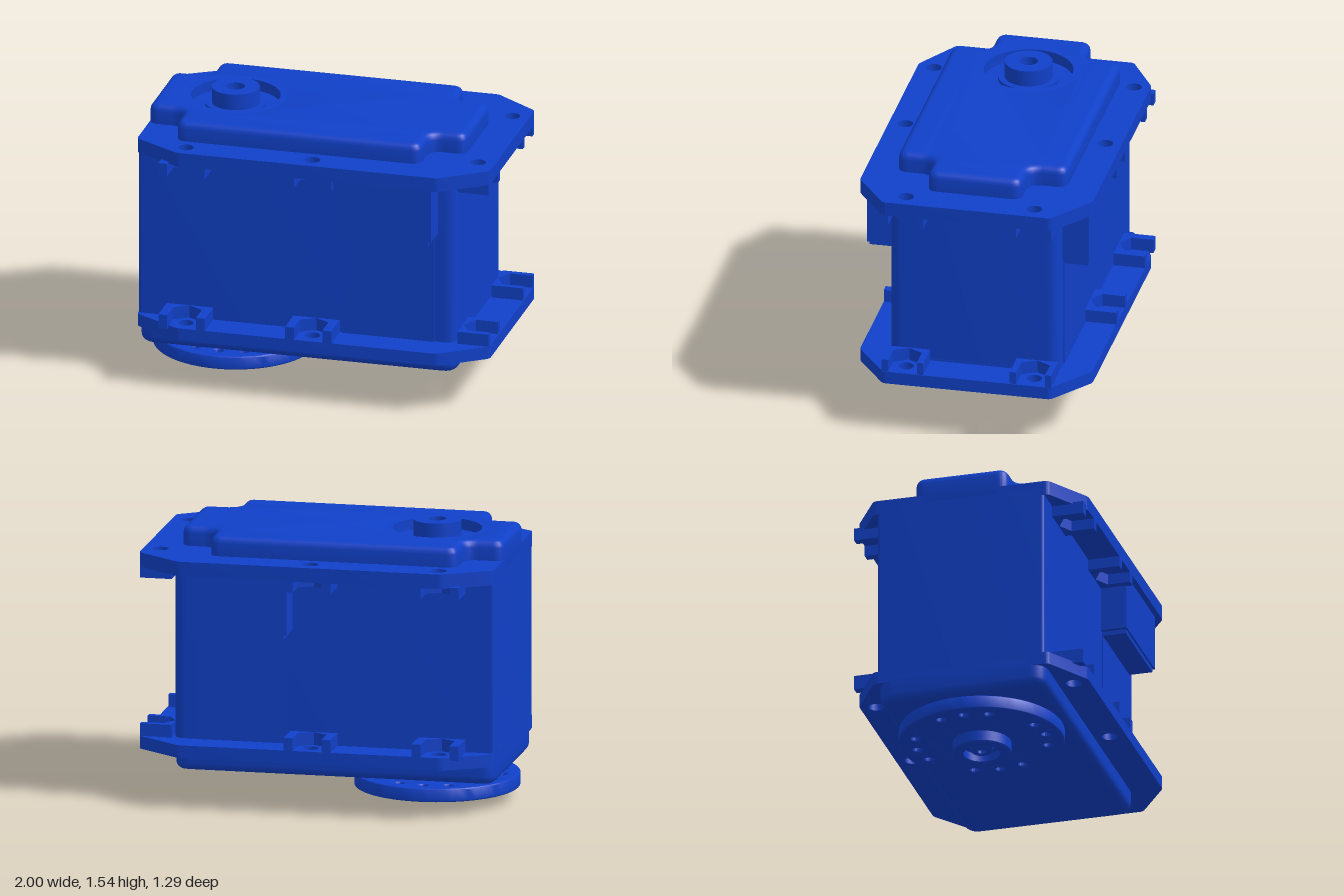
import * as THREE from 'three';
import { toCreasedNormals } from 'three/addons/utils/BufferGeometryUtils.js';

const SHAFT_X = -0.55;

// Closed plan outline; each point is [x, z, cornerRadius]
function outline(points) {
  const shape = new THREE.Shape();
  const n = points.length;
  points.forEach(([x, z, r = 0], i) => {
    const towards = ([px, pz]) => {
      const d = Math.hypot(px - x, pz - z);
      return [x + (px - x) * r / d, z + (pz - z) * r / d];
    };
    const a = towards(points[(i + n - 1) % n]);
    const b = towards(points[(i + 1) % n]);
    if (i === 0) shape.moveTo(...a); else shape.lineTo(...a);
    if (r > 0) shape.quadraticCurveTo(x, z, ...b);
  });
  shape.closePath();
  return shape;
}

function addHole(shape, x, z, r) {
  const path = new THREE.Path();
  path.absarc(x, z, r, 0, Math.PI * 2, true);
  shape.holes.push(path);
}

// Extrude a plan outline between two heights, with optional rounded rims
function slab(shape, y0, y1, bevel = 0, curveSegments = 8) {
  const geo = new THREE.ExtrudeGeometry(shape, {
    depth: y1 - y0 - 2 * bevel, bevelEnabled: bevel > 0, bevelThickness: bevel,
    bevelSize: bevel, bevelOffset: -bevel, bevelSegments: 4, curveSegments,
  });
  geo.rotateX(Math.PI / 2).translate(0, y1 - bevel, 0);
  return toCreasedNormals(geo, 0.6);
}

function lathe(points) {
  const geo = new THREE.LatheGeometry(points.map(p => new THREE.Vector2(...p)), 48);
  return toCreasedNormals(geo.translate(SHAFT_X, 0, 0), 0.6);
}

export function createModel() {
  const model = new THREE.Group();
  model.name = 'servoMotor';
  const material = new THREE.MeshStandardMaterial({ color: 0x1040c8 });
  const add = (name, geo, parent = model) => {
    const mesh = new THREE.Mesh(geo, material);
    mesh.name = name;
    parent.add(mesh);
    return mesh;
  };

  // Middle case and rounded bottom cover
  add('middleCase', slab(outline([
    [-0.97, -0.47, 0.02], [0.81, -0.47, 0.07], [0.81, 0.47, 0.07], [-0.97, 0.47, 0.02],
  ]), 0.33, 1.34));
  add('bottomCover', slab(outline([
    [-0.97, -0.47, 0.09], [0.81, -0.47, 0.09], [0.81, 0.47, 0.09], [-0.97, 0.47, 0.09],
  ]), 0.18, 0.42, 0.045));

  // Top cover with notched corners and an opening around the rear shaft
  const quarter = [[0.81, 0.26, 0.06], [0.61, 0.26, 0.08], [0.61, 0.47, 0.06]];
  const left = x => (x > 0.7 ? -0.97 : -0.76);
  const cover = outline([
    ...quarter,
    ...[...quarter].reverse().map(([x, z, r]) => [left(x), z, r]),
    ...quarter.map(([x, z, r]) => [left(x), -z, r]),
    ...[...quarter].reverse().map(([x, z, r]) => [x, -z, r]),
  ]);
  addHole(cover, SHAFT_X, 0, 0.243);
  add('topCover', slab(cover, 1.29, 1.49, 0.04, 24));
  add('rearShaft', lathe([
    [0.285, 1.49], [0.243, 1.49], [0.243, 1.43], [0.165, 1.43], [0.165, 1.45],
    [0.13, 1.45], [0.13, 1.54], [0.05, 1.54], [0.05, 1.47], [0, 1.47],
  ]));

  // Mounting flanges with screw holes
  const screws = [];
  for (const s of [1, -1]) screws.push([-0.68, s * 0.555], [0.03, s * 0.555], [0.905, s * 0.355]);
  const flange = outline([
    [-0.97, -0.49], [-0.71, -0.645], [0.75, -0.645], [1, -0.465],
    [1, 0.465], [0.75, 0.645], [-0.71, 0.645], [-0.97, 0.49],
  ].map(([x, z]) => [x, z, 0.02]));
  screws.forEach(([x, z]) => addHole(flange, x, z, 0.043));
  add('topFlange', slab(flange, 1.30, 1.38));
  add('bottomFlange', slab(flange, 0.29, 0.36));

  // Nut holders: blocks with a hexagonal pocket open to the outside
  const holder = half => outline([
    [-half, -0.085], [half, -0.085], [half, 0.09], [0.08, 0.09], [0.08, -0.035],
    [0, -0.08], [-0.08, -0.035], [-0.08, 0.09], [-half, 0.09],
  ]);
  for (const [level, y0, y1] of [['top', 1.24, 1.31], ['bottom', 0.35, 0.43]]) {
    const group = new THREE.Group();
    group.name = level + 'NutHolders';
    model.add(group);
    for (const [x, z] of screws) {
      const end = x > 0.5;
      const mesh = add('nutHolder', slab(holder(end ? 0.115 : 0.13), y0, y1), group);
      mesh.position.set(x, 0, z);
      mesh.rotation.y = end ? Math.PI / 2 : (z > 0 ? 0 : Math.PI);
    }
  }

  // Cable sockets and the cover strips below them, on both sides
  for (const [name, s] of [['front', 1], ['back', -1]]) {
    const box = (part, w, h, depth, x, y) => {
      const geo = new THREE.BoxGeometry(w, h, depth);
      add(name + part, geo.translate(x, y, s * (0.46 + depth / 2)));
    };
    box('Socket', 0.56, 0.31, 0.155, 0.43, 1.145);
    box('SocketLip', 0.52, 0.03, 0.145, 0.43, 0.98);
    box('CoverStrip', 0.52, 0.61, 0.016, 0.43, 0.665);
  }

  // Output horn: drilled disc, hub and recessed centre screw
  const disc = new THREE.Shape();
  disc.absarc(SHAFT_X, 0, 0.45, 0, Math.PI * 2);
  for (let k = 0; k < 4; k++) {
    for (const offset of [-22, 0, 22]) {
      const a = THREE.MathUtils.degToRad(k * 90 + offset);
      addHole(disc, SHAFT_X + 0.36 * Math.cos(a), 0.36 * Math.sin(a), 0.026);
    }
  }
  add('hornDisc', slab(disc, 0.065, 0.14, 0.008, 32));
  add('hornHub', lathe([
    [0, 0.045], [0.1, 0.045], [0.1, 0], [0.152, 0], [0.16, 0.008], [0.16, 0.165], [0.14, 0.185],
  ]));
  add('hornScrew', lathe([
    [0, 0.03], [0.025, 0.03], [0.025, 0.012], [0.055, 0.012], [0.065, 0.022], [0.065, 0.05],
  ]));

  return model;
}
